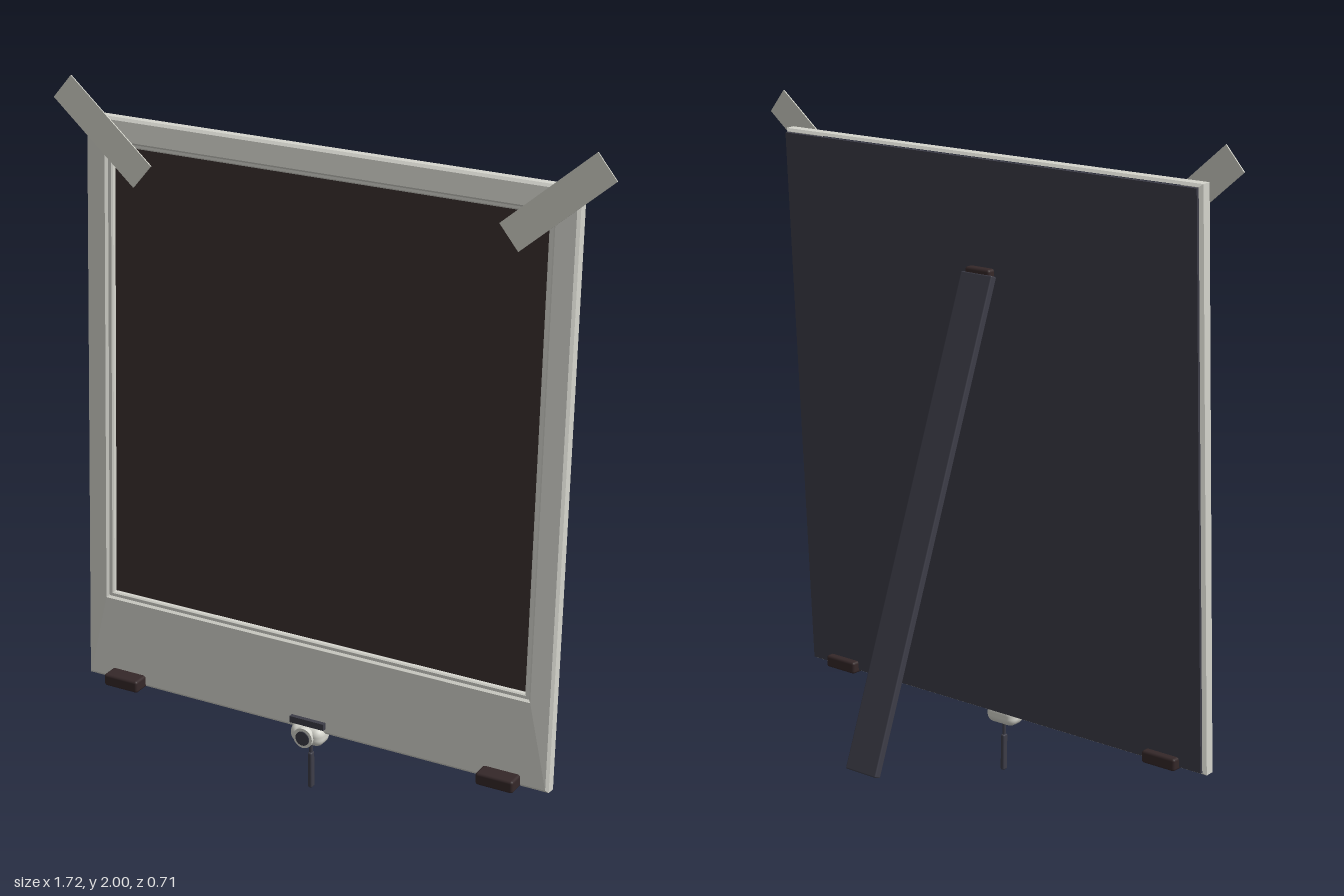
import * as THREE from 'three';
import { RoundedBoxGeometry } from 'three/addons/geometries/RoundedBoxGeometry.js';

const mat = (name, color) => {
  const m = new THREE.MeshStandardMaterial({ color });
  m.name = name;
  return m;
};

// Faceted surface through a list of rectangular rings [halfWidth, bottom, top, z]
function loftRings(rings) {
  const corners = ([w, b, t, z]) => [[-w, b, z], [w, b, z], [w, t, z], [-w, t, z]];
  const pos = [];
  for (let i = 0; i < rings.length - 1; i++) {
    const p = corners(rings[i]), q = corners(rings[i + 1]);
    for (let k = 0; k < 4; k++) {
      const n = (k + 1) % 4;
      pos.push(...p[k], ...p[n], ...q[n], ...p[k], ...q[n], ...q[k]);
    }
  }
  const g = new THREE.BufferGeometry();
  g.setAttribute('position', new THREE.Float32BufferAttribute(pos, 3));
  g.computeVertexNormals();
  return g;
}

export function createModel() {
  const pale = mat('palePlastic', 0xd6d6ce);
  const tapeMat = mat('tape', 0xd2d2c8);
  const panelMat = mat('darkPanel', 0x3a2f2e);
  const slate = mat('slate', 0x3d3d48);
  const rubber = mat('brownRubber', 0x352829);

  const model = new THREE.Group();
  const add = (parent, name, geo, material, x, y, z) => {
    const m = new THREE.Mesh(geo, material);
    m.name = name;
    m.position.set(x, y, z);
    parent.add(m);
    return m;
  };

  // Leaning board: everything here is in the tilted plane of the frame
  const board = new THREE.Group();
  board.name = 'board';
  board.position.set(0, 0.19, 0.29);
  board.rotation.x = -0.056;
  model.add(board);

  add(board, 'frame', loftRings([
    [0.75, 0.008, 1.702, -0.024],
    [0.76, 0, 1.71, -0.016],
    [0.76, 0, 1.71, 0.012],
    [0.752, 0.008, 1.702, 0.019],
    [0.695, 0.26, 1.645, 0.023],
    [0.688, 0.266, 1.639, 0.016],
    [0.678, 0.275, 1.632, 0.016],
    [0.674, 0.279, 1.628, 0.012],
    [0.674, 0.279, 1.628, -0.022],
  ]), pale, 0, 0, 0);
  add(board, 'picturePanel', new THREE.BoxGeometry(1.36, 1.36, 0.012), panelMat, 0, 0.953, -0.006);
  add(board, 'backPlate', new THREE.BoxGeometry(1.5, 1.69, 0.012), slate, 0, 0.855, -0.027);

  // Tape strips across the upper corners
  for (const s of [-1, 1]) {
    const tape = add(board, s < 0 ? 'rightTape' : 'leftTape',
      new THREE.BoxGeometry(0.348, 0.09, 0.004), tapeMat, s * 0.7, 1.667, 0.026);
    tape.rotation.z = s * 0.7;
  }

  // Feet under the lower corners
  for (const s of [-1, 1]) {
    add(model, s < 0 ? 'rightFoot' : 'leftFoot',
      new RoundedBoxGeometry(0.116, 0.038, 0.125, 2, 0.008), rubber, s * 0.617, 0.208, 0.294);
  }

  // Back strut and its hinge
  const top = new THREE.Vector3(0, 1.555, 0.166), foot = new THREE.Vector3(0, 0.185, -0.342);
  const mid = top.clone().add(foot).multiplyScalar(0.5);
  const strut = add(model, 'strut',
    new RoundedBoxGeometry(0.114, top.distanceTo(foot), 0.024, 2, 0.004), slate, mid.x, mid.y, mid.z);
  strut.rotation.x = Math.atan2(top.z - foot.z, top.y - foot.y);
  add(model, 'hinge', new RoundedBoxGeometry(0.09, 0.05, 0.036, 2, 0.008), rubber, 0, 1.548, 0.174);

  // Small clamp at the bottom centre with a hanging key
  const clamp = new THREE.Group();
  clamp.name = 'clamp';
  model.add(clamp);
  add(clamp, 'clampBody', new RoundedBoxGeometry(0.106, 0.058, 0.07, 4, 0.024), pale, 0, 0.181, 0.3);
  add(clamp, 'clampBracket', new THREE.BoxGeometry(0.112, 0.02, 0.03), slate, 0, 0.219, 0.306);
  const collar = add(clamp, 'clampCollar', new THREE.CylinderGeometry(0.031, 0.031, 0.016, 24), pale, 0, 0.181, 0.335);
  const knob = add(clamp, 'clampKnob', new THREE.CylinderGeometry(0.022, 0.022, 0.006, 24), slate, 0, 0.181, 0.343);
  collar.rotation.x = knob.rotation.x = Math.PI / 2;
  add(clamp, 'keyNeck', new THREE.CylinderGeometry(0.006, 0.005, 0.06, 12), slate, 0, 0.13, 0.295);
  add(clamp, 'keyBlade', new RoundedBoxGeometry(0.014, 0.115, 0.02, 2, 0.005), slate, 0, 0.0575, 0.295);

  return model;
}
